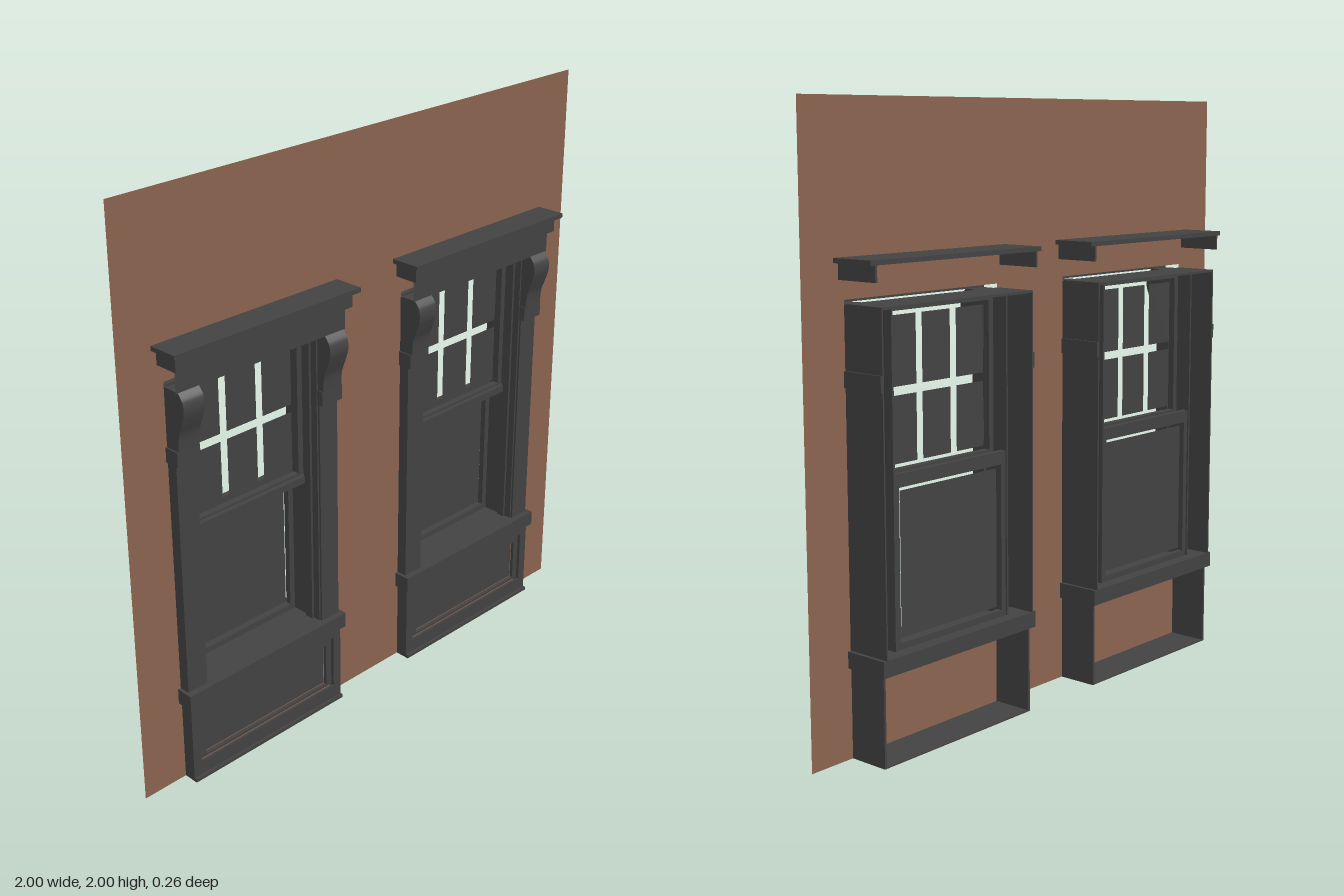
import * as THREE from 'three';

const trim = new THREE.MeshStandardMaterial({ color: 0x424242, side: THREE.DoubleSide });
trim.name = 'dark grey trim';
const brick = new THREE.MeshStandardMaterial({ color: 0x8a634f, side: THREE.DoubleSide });
brick.name = 'brown wall';

// Box given by its limits on each axis
function block(group, name, x0, x1, y0, y1, z0, z1) {
  const mesh = new THREE.Mesh(new THREE.BoxGeometry(x1 - x0, y1 - y0, z1 - z0), trim);
  mesh.position.set((x0 + x1) / 2, (y0 + y1) / 2, (z0 + z1) / 2);
  mesh.name = name;
  group.add(mesh);
}

// The same box on both sides of the window, a and b measured outward from its centre
function pair(group, name, a, b, ...yz) {
  block(group, name + 'Left', a, b, ...yz);
  block(group, name + 'Right', -b, -a, ...yz);
}

// Flat face in the xy plane
function pane(group, name, x0, x1, y0, y1, z) {
  const mesh = new THREE.Mesh(new THREE.PlaneGeometry(x1 - x0, y1 - y0), trim);
  mesh.position.set((x0 + x1) / 2, (y0 + y1) / 2, z);
  mesh.name = name;
  group.add(mesh);
}

function rectangle(path, x0, x1, y0, y1) {
  path.moveTo(x0, y0);
  path.lineTo(x1, y0);
  path.lineTo(x1, y1);
  path.lineTo(x0, y1);
  path.closePath();
  return path;
}

// Rectangular frame, extruded backwards from z1 to z0
function frame(group, name, outer, inner, z0, z1) {
  const shape = rectangle(new THREE.Shape(), ...outer);
  shape.holes.push(rectangle(new THREE.Path(), ...inner));
  const mesh = new THREE.Mesh(new THREE.ExtrudeGeometry(shape, { depth: z1 - z0, bevelEnabled: false }), trim);
  mesh.position.z = z0;
  mesh.name = name;
  group.add(mesh);
}

// Scrolled bracket: side profile in (z, y), extruded across the pilaster
function bracket(group, name, x0, x1) {
  const shape = new THREE.Shape();
  shape.moveTo(0.03, 1.2);
  shape.lineTo(0.08, 1.2);
  shape.splineThru([[0.084, 1.25], [0.1, 1.295], [0.112, 1.335], [0.108, 1.37], [0.09, 1.395]]
    .map(p => new THREE.Vector2(...p)));
  shape.lineTo(0.03, 1.395);
  const geo = new THREE.ExtrudeGeometry(shape, { depth: x1 - x0, bevelEnabled: false, curveSegments: 12 });
  const mesh = new THREE.Mesh(geo, trim);
  mesh.rotation.y = -Math.PI / 2;
  mesh.position.x = x1;
  mesh.name = name;
  group.add(mesh);
}

function createWindow(name) {
  const g = new THREE.Group();
  g.name = name;

  // Base box, open at the back, with a recessed panel
  frame(g, 'basePanelFrame', [-0.333, 0.333, 0, 0.29], [-0.3, 0.3, 0.062, 0.256], 0.062, 0.07);
  frame(g, 'basePanelMoulding', [-0.296, 0.296, 0.066, 0.25], [-0.272, 0.272, 0.075, 0.23], 0.05, 0.062);
  pane(g, 'basePanel', -0.267, 0.267, 0.08, 0.225, 0.052);
  pair(g, 'baseSide', 0.325, 0.333, 0, 0.29, -0.115, 0.07);
  block(g, 'baseFloor', -0.333, 0.333, 0, 0.004, -0.115, 0.07);
  block(g, 'plinth', -0.333, 0.333, 0, 0.012, 0.06, 0.08);

  // Sill
  block(g, 'sill', -0.345, 0.345, 0.29, 0.343, -0.13, 0.085);

  // Pilasters, jambs and brackets
  pair(g, 'pilasterFace', 0.255, 0.333, 0.343, 1.395, 0.03, 0.062);
  pair(g, 'pilasterSide', 0.327, 0.333, 0.343, 1.395, -0.13, 0.062);
  pair(g, 'jamb', 0.249, 0.256, 0.343, 1.395, -0.09, 0.055);
  pair(g, 'stop', 0.24, 0.25, 0.343, 1.395, 0.0, 0.03);
  pair(g, 'bracketFoot', 0.252, 0.34, 1.15, 1.2, 0.02, 0.078);
  pair(g, 'bracketFootReturn', 0.333, 0.34, 1.15, 1.2, -0.13, 0.03);
  bracket(g, 'bracketLeft', 0.255, 0.335);
  bracket(g, 'bracketRight', -0.335, -0.255);
  block(g, 'head', -0.333, 0.333, 1.39, 1.398, -0.13, 0.02);

  // Upper sash with six separate panes, set towards the front
  frame(g, 'upperSash', [-0.25, 0.25, 0.846, 1.395], [-0.228, 0.228, 0.888, 1.37], -0.035, -0.012);
  block(g, 'meetingRail', -0.25, 0.25, 0.855, 0.88, -0.035, 0.005);
  const columns = [[-0.212, -0.088], [-0.061, 0.062], [0.088, 0.212]];
  const rows = [[0.902, 1.112], [1.139, 1.356]];
  for (const c of columns) for (const r of rows) pane(g, 'upperPane', ...c, ...r, -0.024);

  // Lower sash with a single pane, set towards the back
  frame(g, 'lowerSash', [-0.25, 0.25, 0.343, 0.888], [-0.228, 0.228, 0.364, 0.846], -0.085, -0.065);
  pane(g, 'lowerPane', -0.216, 0.216, 0.376, 0.834, -0.075);

  // Frieze, crown and cap
  pane(g, 'frieze', -0.343, 0.343, 1.394, 1.475, 0.09);
  block(g, 'crownFront', -0.355, 0.355, 1.47, 1.522, 0.1, 0.11);
  pair(g, 'crownSide', 0.347, 0.355, 1.47, 1.522, -0.13, 0.11);
  block(g, 'cap', -0.373, 0.373, 1.52, 1.535, -0.13, 0.13);
  return g;
}

export function createModel() {
  const model = new THREE.Group();
  model.name = 'wallWithTwoWindows';

  // Flat wall with two openings
  const shape = rectangle(new THREE.Shape(), -1, 1, 0, 2);
  for (const x of [-0.5, 0.5]) {
    shape.holes.push(rectangle(new THREE.Path(), x - 0.334, x + 0.334, 0.31, 1.41));
  }
  const wall = new THREE.Mesh(new THREE.ShapeGeometry(shape), brick);
  wall.position.z = 0.025;
  wall.name = 'wall';
  model.add(wall);

  for (const [name, x] of [['windowLeft', 0.5], ['windowRight', -0.5]]) {
    const win = createWindow(name);
    win.position.x = x;
    model.add(win);
  }
  return model;
}
